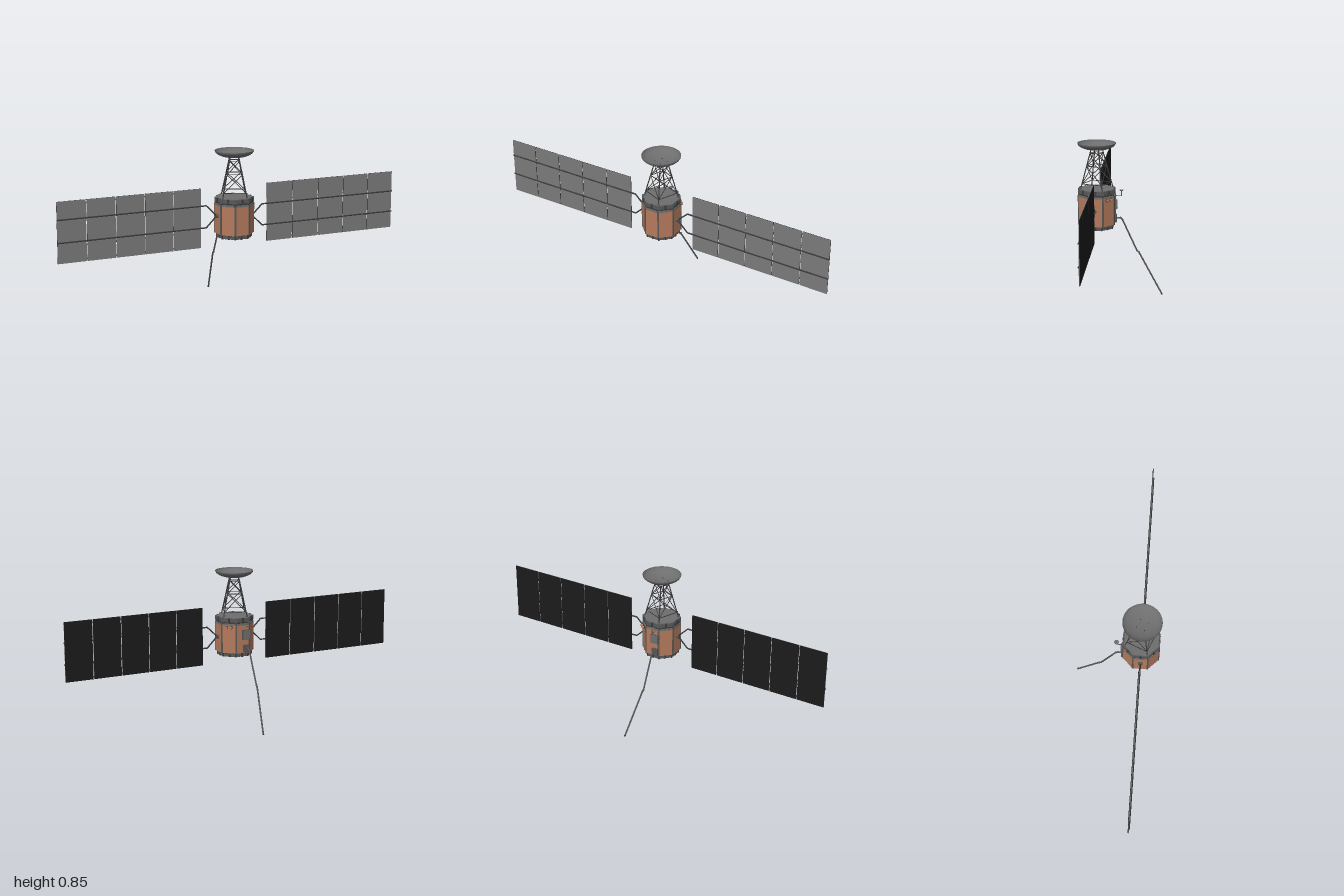
import * as THREE from 'three';

const mat = (name, color) => {
  const m = new THREE.MeshStandardMaterial({ color, side: THREE.DoubleSide });
  m.name = name;
  return m;
};
const V = (x, y, z) => new THREE.Vector3(x, y, z);

export function createModel() {
  const copper = mat('copper', 0xb47a5c);
  const grey = mat('grey', 0x6e6e6e);
  const ringGrey = mat('ringGrey', 0x585858);
  const dark = mat('darkMetal', 0x3c3c3c);
  const cellGrey = mat('panelFront', 0x7a7a7a);
  const black = mat('panelBack', 0x1b1b1b);

  const model = new THREE.Group();
  model.name = 'satellite';
  const group = (name, parent = model) => {
    const g = new THREE.Group();
    g.name = name;
    parent.add(g);
    return g;
  };
  const add = (parent, name, geo, m, x = 0, y = 0, z = 0) => {
    const mesh = new THREE.Mesh(geo, m);
    mesh.name = name;
    mesh.position.set(x, y, z);
    parent.add(mesh);
    return mesh;
  };
  const box = (p, name, m, w, h, d, x, y, z) => add(p, name, new THREE.BoxGeometry(w, h, d), m, x, y, z);
  // Rod between two points
  const rod = (p, name, m, a, b, r, sides = 6) => {
    const dir = b.clone().sub(a);
    const mesh = add(p, name, new THREE.CylinderGeometry(r, r, dir.length(), sides), m);
    mesh.position.copy(a).add(b).multiplyScalar(0.5);
    mesh.quaternion.setFromUnitVectors(V(0, 1, 0), dir.normalize());
    return mesh;
  };

  // Everything but the arm and rear gear is centred on this axis
  const core = group('core');
  core.position.z = 0.13;

  // Octagonal prism with flats facing the axes; size is the distance to a flat
  const prism = (name, m, bottom, top, y0, y1) => {
    const k = Math.cos(Math.PI / 8);
    const geo = new THREE.CylinderGeometry(top / k, bottom / k, y1 - y0, 8).rotateY(Math.PI / 8).toNonIndexed();
    geo.computeVertexNormals();
    return add(core, name, geo, m, 0, (y0 + y1) / 2, 0);
  };

  // Body, collars and lids
  prism('body', copper, 0.099, 0.099, 0.4, 0.563);
  prism('upperCollar', dark, 0.096, 0.096, 0.563, 0.574);
  prism('topRing', ringGrey, 0.098, 0.098, 0.574, 0.594);
  prism('topLid', grey, 0.092, 0.092, 0.594, 0.597);
  prism('lowerCollar', dark, 0.088, 0.088, 0.395, 0.4);
  prism('bottomRing', ringGrey, 0.089, 0.089, 0.378, 0.396);

  // Corner ribs, ring blocks and grey strips on the flats
  for (let i = 0; i < 8; i++) {
    const g = group('bodySide', core);
    g.rotation.y = i * Math.PI / 4;
    box(g, 'ringBlock', dark, 0.01, 0.024, 0.008, 0, 0.584, 0.098);
    box(g, 'lowerRingBlock', dark, 0.009, 0.021, 0.006, 0, 0.387, 0.089);
    box(g, 'topTab', grey, 0.068, 0.01, 0.004, 0, 0.561, 0.099);
    const c = group('bodyCorner', core);
    c.rotation.y = (i + 0.5) * Math.PI / 4;
    box(c, 'cornerRib', ringGrey, 0.009, 0.163, 0.005, 0, 0.482, 0.1055);
    box(c, 'ringCorner', ringGrey, 0.013, 0.025, 0.008, 0, 0.584, 0.102);
    box(c, 'lowerRingCorner', dark, 0.008, 0.021, 0.006, 0, 0.387, 0.0945);
  }

  // Lattice tower: four legs, three hoops and crossed braces
  const tower = group('tower', core);
  const joint = (i, y) => {
    const r = THREE.MathUtils.mapLinear(y, 0.595, 0.81, 0.093, 0.033);
    const a = (-22.5 + 90 * i) * Math.PI / 180;
    return V(r * Math.cos(a), y, r * Math.sin(a));
  };
  const levels = [0.625, 0.722, 0.792];
  for (let i = 0; i < 4; i++) {
    rod(tower, 'towerLeg', dark, joint(i, 0.595), joint(i, 0.812), 0.003);
    rod(tower, 'legFoot', ringGrey, joint(i, 0.595), joint(i, 0.603), 0.005);
    levels.forEach((y, k) => {
      rod(tower, 'towerHoop', dark, joint(i, y), joint(i + 1, y), 0.0022);
      if (k === 2) return;
      rod(tower, 'towerBrace', dark, joint(i, y), joint(i + 1, levels[k + 1]), 0.002);
      rod(tower, 'towerBrace', dark, joint(i + 1, y), joint(i, levels[k + 1]), 0.002);
    });
  }

  // Dish
  const bowl = [];
  for (let i = 0; i <= 10; i++) {
    const t = i / 10;
    bowl.push(new THREE.Vector2(0.105 * Math.sin(t * Math.PI / 2), 0.848 - 0.04 * Math.cos(t * Math.PI / 2)));
  }
  add(core, 'dish', new THREE.LatheGeometry(bowl, 40), grey);

  // Solar wings: five panels, two rails and a forked yoke
  for (const [side, yHub, yLow, yHigh, z] of [[-1, 0.5, 0.44, 0.56, -0.003], [1, 0.485, 0.425, 0.542, 0.001]]) {
    const wing = group(side < 0 ? 'rightWing' : 'leftWing', core);
    wing.position.z = z;
    for (let i = 0; i < 5; i++) {
      const x = side * (0.275 + i * 0.1612);
      box(wing, 'panelFront', cellGrey, 0.156, 0.323, 0.003, x, 0.493, 0.0015);
      box(wing, 'panelBack', black, 0.156, 0.323, 0.003, x, 0.493, -0.0015);
      if (i < 4) for (const y of [0.345, 0.42, 0.56, 0.64]) {
        box(wing, 'hinge', ringGrey, 0.008, 0.007, 0.005, x + side * 0.0806, y, 0);
      }
    }
    for (const y of [yLow, yHigh]) {
      rod(wing, 'rail', dark, V(side * 0.165, y, 0.004), V(side * 1, y, 0.004), 0.004);
      rod(wing, 'yokeArm', dark, V(side * 0.105, yHub, 0.004), V(side * 0.166, y, 0.004), 0.004);
    }
    rod(wing, 'wingHub', ringGrey, V(side * 0.095, yHub, 0.004), V(side * 0.111, yHub, 0.004), 0.012, 16);
  }

  // Twin sensors on the rear left flat
  const sensors = group('sensors', core);
  sensors.rotation.y = Math.PI * 0.75;
  for (const x of [-0.013, 0.013]) {
    rod(sensors, 'sensorTube', copper, V(x, 0.545, 0.095), V(x, 0.545, 0.115), 0.007, 14);
    rod(sensors, 'sensorCollar', dark, V(x, 0.545, 0.096), V(x, 0.545, 0.104), 0.009, 14);
  }

  // Rear equipment boxes
  const gear = group('rearGear');
  box(gear, 'rearFrame', ringGrey, 0.05, 0.054, 0.008, -0.02, 0.503, 0.028);
  box(gear, 'rearPlate', grey, 0.038, 0.046, 0.008, -0.02, 0.503, 0.022);
  box(gear, 'armMount', ringGrey, 0.036, 0.042, 0.01, -0.02, 0.425, 0.027);

  // Small antenna on a bent bracket
  rod(gear, 'antennaBracket', ringGrey, V(-0.02, 0.551, 0.034), V(-0.02, 0.551, -0.004), 0.0025);
  rod(gear, 'antennaMast', ringGrey, V(-0.02, 0.549, -0.004), V(-0.02, 0.58, -0.004), 0.0025);
  add(gear, 'antennaDish', new THREE.CylinderGeometry(0.013, 0.007, 0.005, 18), grey, -0.02, 0.581, -0.004);

  // Jointed arm
  const arm = group('arm');
  const path = [V(-0.02, 0.427, 0.025), V(-0.02, 0.428, 0.002), V(-0.02, 0.418, -0.009),
    V(-0.02, 0.242, -0.09), V(-0.019, 0.235, -0.1), V(0.014, 0.006, -0.23)];
  for (let i = 0; i < 5; i++) {
    rod(arm, 'armSegment', ringGrey, path[i], path[i + 1], 0.0045, 8);
    if (i) add(arm, 'armJoint', new THREE.SphereGeometry(0.0058, 12, 8), ringGrey).position.copy(path[i]);
  }
  add(arm, 'armTip', new THREE.SphereGeometry(0.0055, 10, 8), dark).position.copy(path[5]);

  return model;
}
